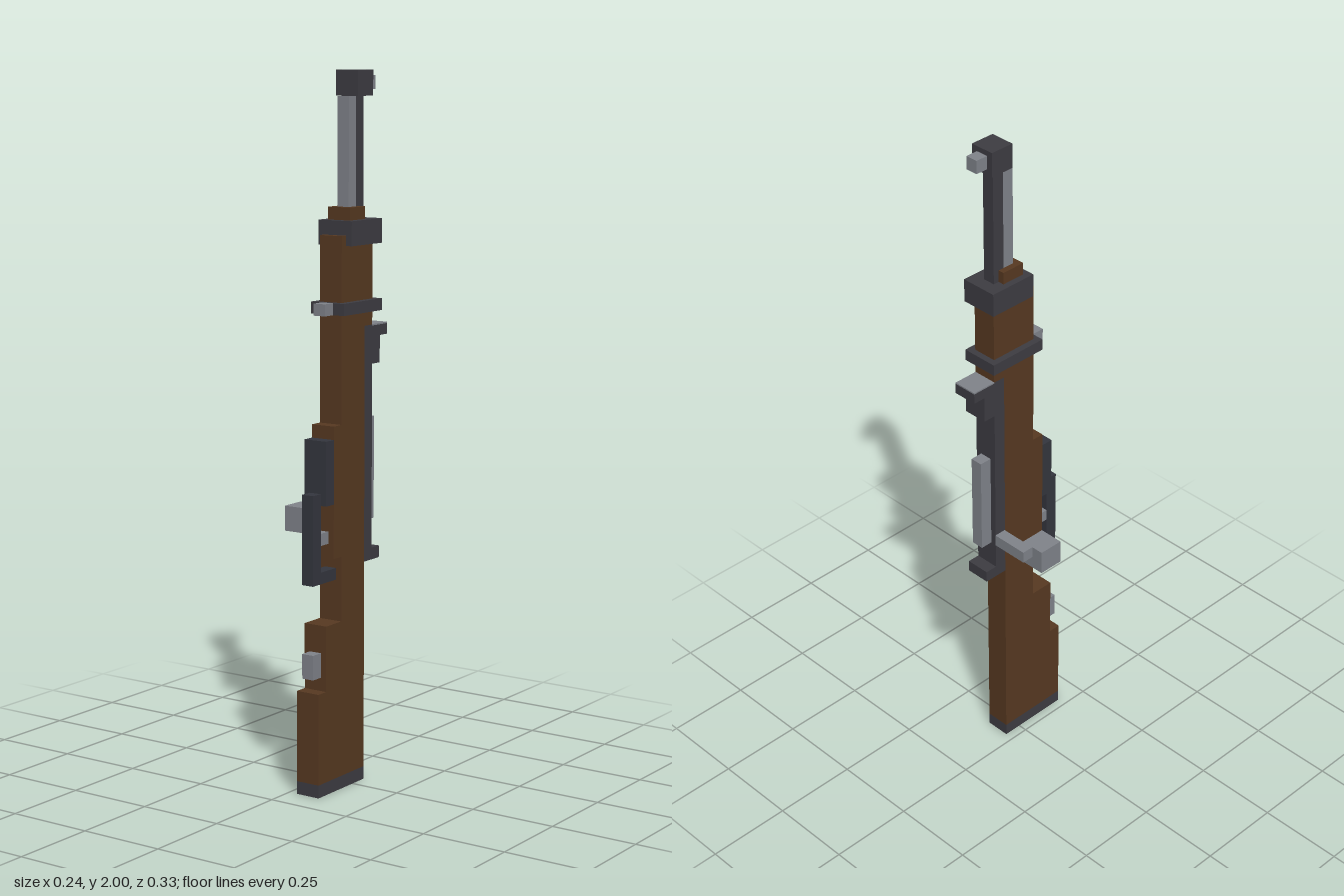
import * as THREE from 'three';

export function createModel() {
  const model = new THREE.Group();
  model.name = 'boltActionRifle';

  const material = (name, color) => {
    const m = new THREE.MeshStandardMaterial({ color });
    m.name = name;
    return m;
  };
  const wood = material('walnutWood', 0x573921);
  const darkMetal = material('darkMetal', 0x3d3c42);
  const blued = material('bluedSteel', 0x34363e);
  const steel = material('lightSteel', 0x80838a);

  // Box given by its ranges along x, y and z
  function box(name, mat, [x0, x1], [y0, y1], [z0, z1], parent = model) {
    const mesh = new THREE.Mesh(new THREE.BoxGeometry(x1 - x0, y1 - y0, z1 - z0), mat);
    mesh.position.set((x0 + x1) / 2, (y0 + y1) / 2, (z0 + z1) / 2);
    mesh.name = name;
    parent.add(mesh);
    return mesh;
  }
  const wide = [0.027, 0.1];
  const slim = [0.045, 0.082];
  const band = [0.008, 0.119];

  // Stepped stock: one side profile (z, y) extruded across the width
  const profile = [
    [-0.055, 0.037], [0.167, 0.037], [0.167, 0.297], [0.13, 0.297], [0.13, 0.483],
    [0.057, 0.483], [0.057, 0.667], [0.094, 0.667], [0.094, 1.037], [0.057, 1.037],
    [0.057, 1.555], [0.018, 1.555], [0.018, 1.63], [-0.055, 1.63], [-0.055, 1.555],
    [-0.092, 1.555], [-0.092, 1.3], [-0.055, 1.3],
  ];
  const shape = new THREE.Shape(profile.map(([z, y]) => new THREE.Vector2(-z, y)));
  const stockGeometry = new THREE.ExtrudeGeometry(shape, { depth: wide[1] - wide[0], bevelEnabled: false });
  stockGeometry.rotateY(Math.PI / 2);
  const stock = new THREE.Mesh(stockGeometry, wood);
  stock.position.x = wide[0];
  stock.name = 'stock';
  model.add(stock);
  box('buttPlate', darkMetal, wide, [0, 0.037], [-0.055, 0.167]);

  // Barrel, cleaning rod, muzzle and front sight
  box('barrel', darkMetal, slim, [1.59, 1.93], [-0.073, -0.037]);
  box('cleaningRod', steel, slim, [1.63, 1.93], [-0.037, -0.002]);
  box('muzzle', darkMetal, wide, [1.93, 2], [-0.093, -0.02]);
  box('frontSight', steel, slim, [1.947, 1.985], [-0.13, -0.093]);

  // Bands and sling mounts
  box('upperBand', darkMetal, band, [1.527, 1.595], [-0.111, 0.037]);
  box('lowerBand', darkMetal, band, [1.34, 1.373], [-0.111, 0.073]);
  box('frontSlingMount', steel, slim, [1.34, 1.373], [0.073, 0.111]);
  box('rearSlingMount', steel, slim, [0.335, 0.405], [0.13, 0.167]);

  // Receiver with rear sight and bolt
  box('receiver', darkMetal, wide, [0.633, 1.3], [-0.092, -0.055]);
  box('receiverEnd', darkMetal, wide, [0.633, 0.667], [-0.129, -0.092]);
  box('rearSightBase', darkMetal, wide, [1.19, 1.267], [-0.13, -0.092]);
  box('rearSight', darkMetal, wide, [1.267, 1.297], [-0.167, -0.092]);
  box('rearSightPlate', steel, wide, [1.297, 1.301], [-0.167, -0.092]);
  box('bolt', steel, slim, [0.745, 1.037], [-0.129, -0.092]);

  const handle = new THREE.Group();
  handle.name = 'boltHandle';
  model.add(handle);
  box('handleArm', steel, [-0.085, 0.027], [0.745, 0.78], [-0.093, -0.057], handle);
  box('handleKnob', steel, [-0.122, -0.048], [0.708, 0.78], [-0.057, 0.018], handle);

  // Magazine, trigger and guard
  box('magazine', blued, wide, [0.82, 1.0], [0.094, 0.13]);
  box('trigger', steel, slim, [0.708, 0.742], [0.094, 0.13]);
  const guard = new THREE.Group();
  guard.name = 'triggerGuard';
  model.add(guard);
  box('guardBar', blued, slim, [0.6, 0.853], [0.13, 0.167], guard);
  box('guardFoot', blued, slim, [0.6, 0.633], [0.057, 0.13], guard);

  return model;
}
